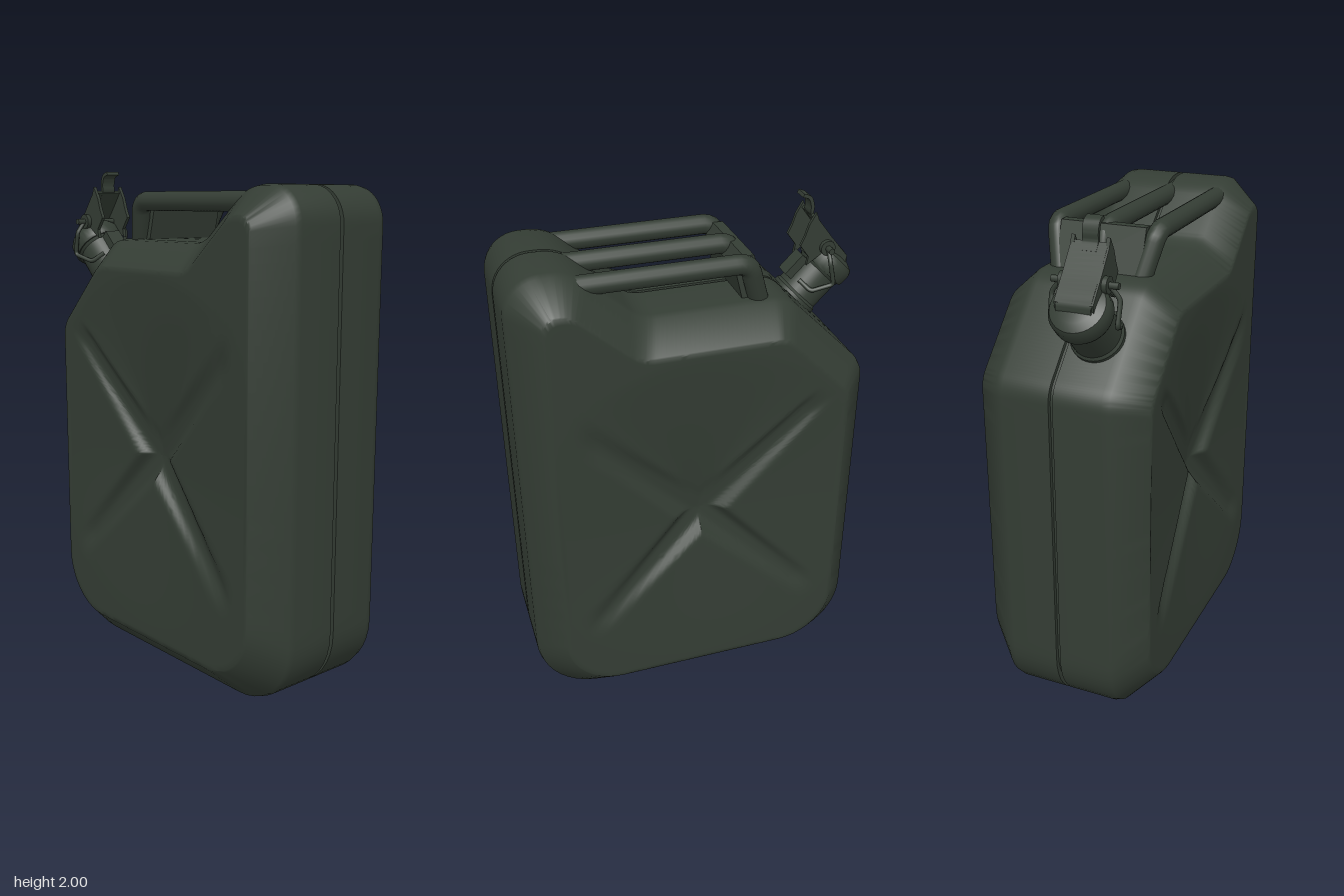
import * as THREE from 'three';
import { toCreasedNormals } from 'three/addons/utils/BufferGeometryUtils.js';

const green = new THREE.MeshStandardMaterial({ color: 0x343d34 });
green.name = 'dark green paint';

function add(parent, name, geometry) {
  const mesh = new THREE.Mesh(geometry, green);
  mesh.name = name;
  parent.add(mesh);
  return mesh;
}

// Closed outline with filleted corners [x, y, radius]; equal point counts for equal corner counts
function roundedLoop(corners, arcSteps = 10, edgeSteps = 26) {
  const n = corners.length;
  const arcs = corners.map(([x, y, r], i) => {
    const p = new THREE.Vector2(x, y);
    const a = new THREE.Vector2(...corners[(i + n - 1) % n].slice(0, 2)).sub(p).normalize();
    const b = new THREE.Vector2(...corners[(i + 1) % n].slice(0, 2)).sub(p).normalize();
    const turn = Math.PI - Math.acos(a.dot(b));
    const t = r * Math.tan(turn / 2);
    const k = t - (4 / 3) * r * Math.tan(turn / 4);
    const at = (d, l) => p.clone().addScaledVector(d, l);
    return new THREE.CubicBezierCurve(at(a, t), at(a, k), at(b, k), at(b, t)).getPoints(arcSteps);
  });
  return arcs.flatMap((arc, i) => {
    const start = arc[arcSteps], end = arcs[(i + 1) % n][0];
    const edge = [];
    for (let j = 1; j < edgeSteps; j++) edge.push(start.clone().lerp(end, j / edgeSteps));
    return [...arc, ...edge];
  });
}

const outer = roundedLoop([
  [-0.66, 0, 0.27], [0.72, 0, 0.27], [0.72, 1.935, 0.14], [0.475, 1.935, 0.2],
  [0.23, 1.725, 0.14], [-0.33, 1.725, 0.14], [-0.66, 1.395, 0.12],
]);
const inner = roundedLoop([
  [-0.55, 0.12, 0.23], [0.608, 0.12, 0.23], [0.608, 1.825, 0.05], [0.51, 1.825, 0.1],
  [0.27, 1.615, 0.14], [-0.289, 1.615, 0.1], [-0.55, 1.354, 0.1],
]);
const centre = new THREE.Vector2(0.03, 0.88);

// Depth of the pressed face: a diagonal cross of grooves, with the upper panel sloping in to the hub
function pressDepth(x, y) {
  const dx = x - centre.x, dy = y - centre.y;
  const r = Math.hypot(dx, dy);
  const u = Math.abs(dx + dy) * Math.SQRT1_2, v = Math.abs(dx - dy) * Math.SQRT1_2;
  const along = Math.max(u, v), across = Math.min(u, v);
  const upward = r > 0 ? THREE.MathUtils.smoothstep(dy / r, 0.65, 0.95) : 0;
  const funnel = (0.035 + 0.045 * upward) * Math.pow(Math.max(0, 1 - r / 0.72), 1.2);
  const width = 0.06 - 0.025 * Math.min(1, along / 0.7);
  const floor = (0.08 - 0.07 * Math.min(1, along / 0.7)) * (1 - THREE.MathUtils.smoothstep(along, 0.58, 0.72));
  const groove = Math.exp(-((across / width) ** 4));
  return funnel + Math.max(0, floor - funnel) * groove;
}

// One half of the can: seam groove, side wall, bevel and pressed face
function shellHalf(side) {
  const rings = [
    [0.15, 0], [0.15, 0.008], [0, 0.008], [0, 0.195], [0.05, 0.222], [0.93, 0.334], [0.98, 0.3385], [1, 0.3393],
  ].map(([t, z]) => outer.map((p, i) => {
    const q = p.clone().lerp(inner[i], t);
    return [q.x, q.y, z];
  }));
  const faceRings = 50;
  for (let k = 1; k <= faceRings; k++) {
    rings.push(inner.map((p) => {
      const q = p.clone().lerp(centre, k / faceRings);
      return [q.x, q.y, 0.34 - pressDepth(q.x, q.y)];
    }));
  }
  const n = outer.length, index = [];
  for (let i = 0; i < rings.length - 1; i++) {
    for (let j = 0; j < n; j++) {
      const a = i * n + j, b = i * n + (j + 1) % n, c = a + n, d = b + n;
      const last = i === rings.length - 2;
      if (side > 0) index.push(a, b, c, ...(last ? [] : [b, d, c]));
      else index.push(a, c, b, ...(last ? [] : [b, c, d]));
    }
  }
  const geo = new THREE.BufferGeometry();
  geo.setAttribute('position', new THREE.Float32BufferAttribute(
    rings.flat().flatMap(([x, y, z]) => [x, y, z * side]), 3));
  geo.setIndex(index);
  return toCreasedNormals(geo, 0.8);
}

// Flat plate in the xy plane, centred on z
function plate(points, depth, z = 0) {
  const shape = new THREE.Shape(points.map(([x, y]) => new THREE.Vector2(x, y)));
  return new THREE.ExtrudeGeometry(shape, { depth, bevelEnabled: false }).translate(0, 0, z - depth / 2);
}

// Bent strip of sheet metal following a curve in the xy plane
function strip(points, thickness, width) {
  const curve = new THREE.SplineCurve(points.map(([x, y]) => new THREE.Vector2(x, y)));
  const top = [], bottom = [];
  for (let i = 0; i <= 20; i++) {
    const p = curve.getPoint(i / 20), t = curve.getTangent(i / 20);
    const nx = -t.y * thickness / 2, ny = t.x * thickness / 2;
    top.push([p.x + nx, p.y + ny]);
    bottom.unshift([p.x - nx, p.y - ny]);
  }
  return toCreasedNormals(plate([...top, ...bottom], width), 0.6);
}

// Bar through points with softly rounded bends
function bar(points, radius, bend, sides = 14) {
  const path = new THREE.CurvePath();
  const v = points.map((p) => new THREE.Vector3(...p));
  let from = v[0];
  for (let i = 1; i < v.length; i++) {
    if (i === v.length - 1) { path.add(new THREE.LineCurve3(from, v[i])); break; }
    const inPt = v[i].clone().add(v[i - 1].clone().sub(v[i]).setLength(bend));
    const outPt = v[i].clone().add(v[i + 1].clone().sub(v[i]).setLength(bend));
    path.add(new THREE.LineCurve3(from, inPt));
    path.add(new THREE.QuadraticBezierCurve3(inPt, v[i], outPt));
    from = outPt;
  }
  return new THREE.TubeGeometry(path, 48, radius, sides);
}

function buildHandles() {
  const handles = new THREE.Group();
  handles.name = 'carryHandles';
  for (const z of [-0.202, 0, 0.202]) {
    add(handles, 'handleBar', bar([
      [0.52, 1.875, z], [-0.175, 1.875, z], [-0.235, 1.7, z * 0.8],
    ], 0.038, 0.045));
  }
  // Sloping foot that joins the three bars
  add(handles, 'handleFoot', plate([
    [-0.272, 1.7], [-0.17, 1.7], [-0.135, 1.84], [-0.165, 1.89], [-0.205, 1.89],
  ], 0.34));
  return handles;
}

function buildSpout() {
  const spout = new THREE.Group();
  spout.name = 'spout';
  spout.position.set(-0.495, 1.565, 0.11);
  spout.rotation.z = Math.PI / 4;

  // Neck and cap
  const neck = [[0.1, -0.06], [0.1, 0.01], [0.092, 0.02], [0.092, 0.14], [0.1, 0.15], [0.1, 0.17], [0, 0.17]];
  add(spout, 'neck', toCreasedNormals(
    new THREE.LatheGeometry(neck.map((p) => new THREE.Vector2(...p)), 36), 0.6));
  const cap = [[0, 0.15], [0.105, 0.15], [0.11, 0.16], [0.11, 0.205], [0.1, 0.222], [0.07, 0.236], [0, 0.238]];
  add(spout, 'cap', toCreasedNormals(
    new THREE.LatheGeometry(cap.map((p) => new THREE.Vector2(...p)), 36), 0.6));

  // Clamp lever: two tall cheeks, a bridge and a curled thumb tab
  const cheek = [
    [-0.035, 0.215], [-0.01, 0.256], [0.1, 0.266], [0.198, 0.278], [0.228, 0.292], [0.215, 0.24],
    [0.193, 0.196], [0.18, 0.159], [0.12, 0.15], [0.1, 0.12], [0.085, 0.2],
  ];
  for (const s of [-1, 1]) {
    add(spout, 'leverCheek', plate(cheek, 0.014, s * 0.065));
    const boss = add(spout, 'pivotBoss', new THREE.CylinderGeometry(0.03, 0.03, 0.02, 20));
    boss.rotation.x = Math.PI / 2;
    boss.position.set(0.09, 0.225, s * 0.08);
    // Wire bail from the pivot around the neck
    add(spout, 'wireBail', bar([
      [0.09, 0.225, s * 0.09], [0.06, 0.19, s * 0.128], [-0.02, 0.14, s * 0.125],
      [0.02, 0.06, s * 0.1], [0.07, 0.06, s * 0.06],
    ], 0.009, 0.015, 8));
  }
  add(spout, 'leverBridge', strip([[-0.03, 0.23], [0, 0.252], [0.1, 0.26], [0.215, 0.276]], 0.012, 0.13));
  const pin = add(spout, 'pivotPin', new THREE.CylinderGeometry(0.012, 0.012, 0.25, 12));
  pin.rotation.x = Math.PI / 2;
  pin.position.set(0.09, 0.225, 0);
  add(spout, 'thumbTab', strip([
    [0.18, 0.271], [0.215, 0.279], [0.236, 0.3], [0.268, 0.315], [0.297, 0.303],
  ], 0.014, 0.06));
  // Hinge lug behind the neck
  add(spout, 'hingeLug', new THREE.BoxGeometry(0.06, 0.1, 0.07).translate(0.09, 0.09, 0));
  return spout;
}

export function createModel() {
  const can = new THREE.Group();
  can.name = 'fuelCan';
  add(can, 'frontShell', shellHalf(1));
  add(can, 'backShell', shellHalf(-1));
  can.add(buildHandles(), buildSpout());
  return can;
}
